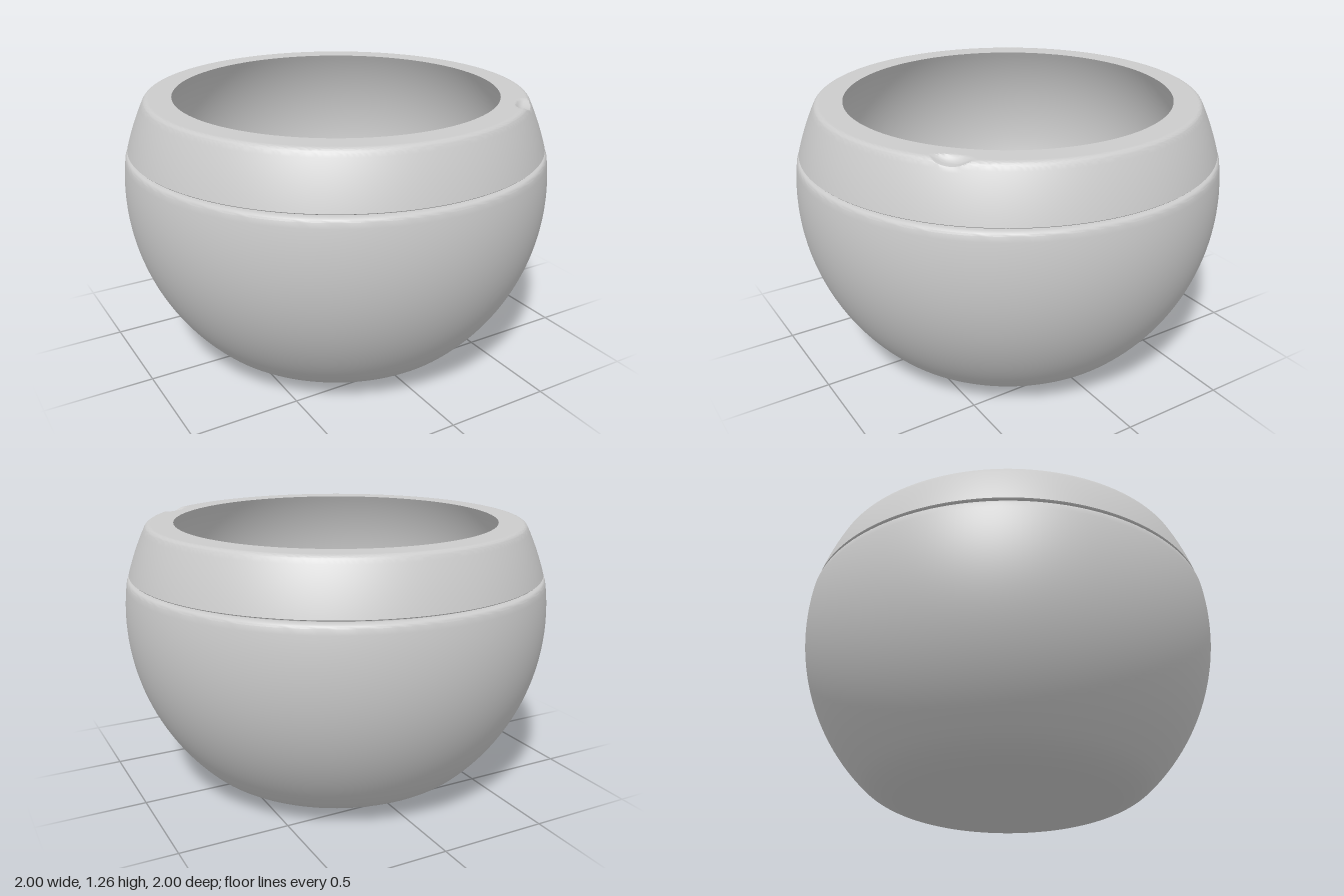
import * as THREE from 'three';
import { toCreasedNormals } from 'three/addons/utils/BufferGeometryUtils.js';

const CENTRE_Y = 0.83;   // centre of the spherical shell
const TOP = 1.26;
const GROOVE_R = 0.945;
const material = new THREE.MeshStandardMaterial({ color: 0xcccccc });

const v = (x, y) => new THREE.Vector2(x, y);

// Points on a circle of the given radius between two heights
function arc(radius, y0, y1, steps) {
  return Array.from({ length: steps + 1 }, (_, i) => {
    const a0 = Math.asin((y0 - CENTRE_Y) / radius);
    const a1 = Math.asin((y1 - CENTRE_Y) / radius);
    const a = a0 + (a1 - a0) * i / steps;
    return v(Math.cos(a) * radius, CENTRE_Y + Math.sin(a) * radius);
  });
}

// Soft transition from a flat disc at floorY into a sphere
function foot(radius, floorY, flatR, joinY) {
  const join = arc(radius, joinY, joinY, 1)[0];
  const slope = join.x / (CENTRE_Y - joinY);           // dy/dx of the sphere at the join
  const corner = v(join.x - (joinY - floorY) / slope, floorY);
  const curve = new THREE.QuadraticBezierCurve(v(flatR, floorY), corner, join);
  return [v(0, floorY), v(flatR * 0.5, floorY), ...curve.getPoints(14)];
}

function turned(name, points, segments, reshape) {
  let geometry = new THREE.LatheGeometry(points, segments);
  if (reshape) reshape(geometry.attributes.position);
  geometry.deleteAttribute('uv');
  geometry = toCreasedNormals(geometry, 0.6);
  const mesh = new THREE.Mesh(geometry, material);
  mesh.name = name;
  return mesh;
}

// Shallow scoop pressed into the outer edge of the rim
function cutNotch(position) {
  const angle = THREE.MathUtils.degToRad(43.4);
  const p = new THREE.Vector3();
  for (let i = 0; i < position.count; i++) {
    p.fromBufferAttribute(position, i);
    const across = p.x * Math.cos(angle) - p.z * Math.sin(angle);
    const out = p.x * Math.sin(angle) + p.z * Math.cos(angle);
    if (out < 0) continue;
    const inner = Math.max(0, 0.865 - out) / 0.035;
    const floor = TOP - 0.026 * (1 - (across / 0.085) ** 2 - inner ** 2);
    if (p.y > floor) position.setY(i, floor);
  }
}

export function createModel() {
  const group = new THREE.Group();
  group.name = 'bowl';

  // Rounded outer body, ending in the groove under the rim
  const body = [
    ...foot(1, 0, 0.34, 0.11),
    ...arc(1, 0.11, 1.0, 40).slice(1),
    v(0.982, 1.008), v(0.976, 1.014), v(0.967, 1.017), v(GROOVE_R, 1.017),
  ];
  group.add(turned('body', body, 160));

  // Rim band: groove wall, sloping side, rounded edge, flat top
  const side = new THREE.QuadraticBezierCurve(v(0.975, 1.031), v(0.943, 1.14), v(0.894, 1.24)).getPoints(16);
  const edge = new THREE.QuadraticBezierCurve(v(0.894, 1.24), v(0.884, TOP), v(0.868, TOP)).getPoints(8);
  const flat = Array.from({ length: 18 }, (_, i) => v(0.862 - 0.006 * i, TOP));
  const rim = [
    v(GROOVE_R, 1.017), v(GROOVE_R, 1.027), v(0.971, 1.027),
    ...side, ...edge.slice(1), ...flat, v(0.76, TOP),
  ];
  group.add(turned('rim', rim, 480, cutNotch));

  // Hollow: concentric sphere narrowing to the opening, with a flat floor
  const innerR = Math.hypot(0.76, TOP - CENTRE_Y);
  const hollow = [
    ...foot(innerR, 0.13, 0.4, 0.2),
    ...arc(innerR, 0.2, TOP, 40).slice(1),
  ].reverse();
  group.add(turned('hollow', hollow, 160));

  return group;
}
